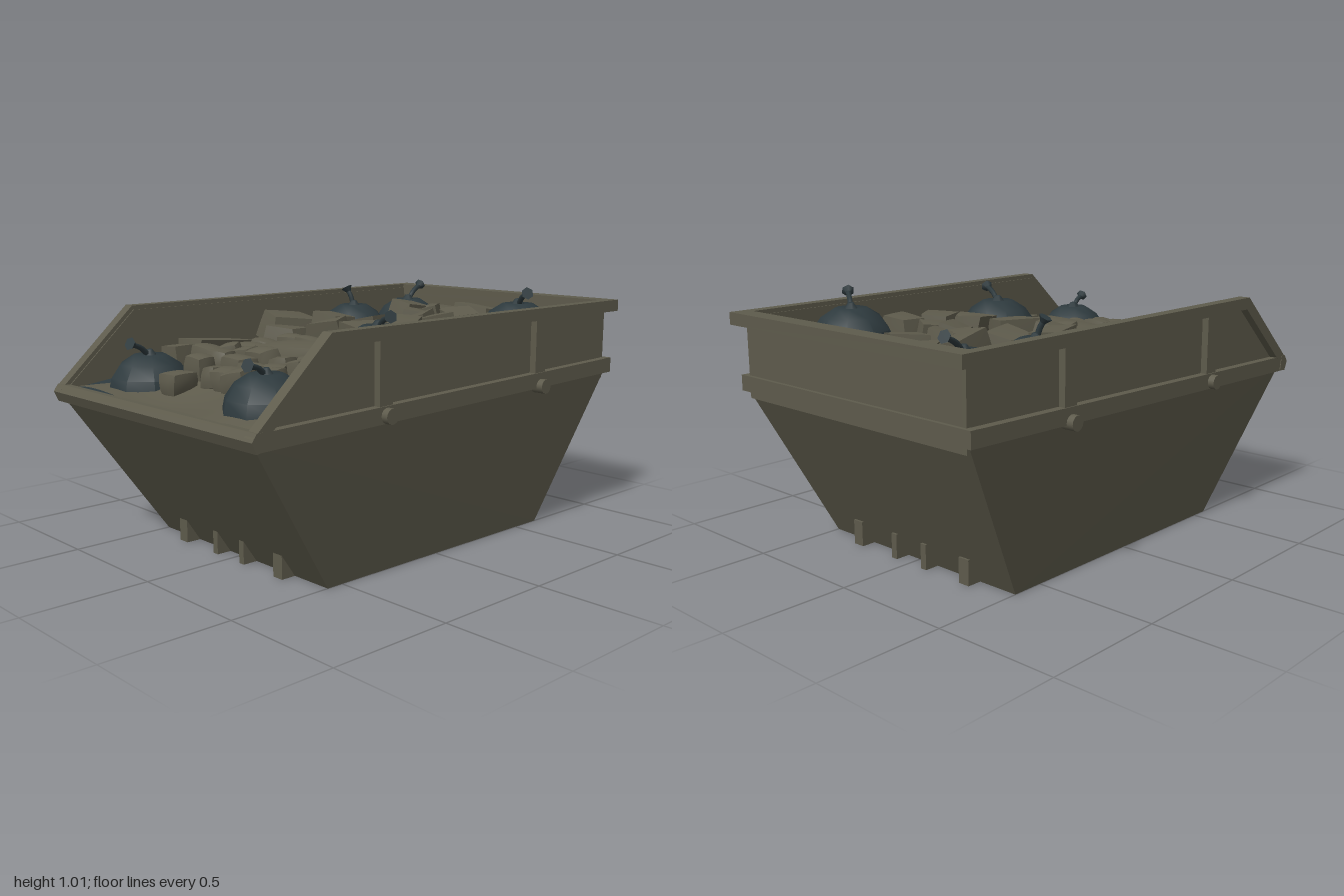
import * as THREE from 'three';
import { mergeVertices, toCreasedNormals } from 'three/addons/utils/BufferGeometryUtils.js';
import { ConvexGeometry } from 'three/addons/geometries/ConvexGeometry.js';

const tan = new THREE.MeshStandardMaterial({ color: 0x5e5b4c });
tan.name = 'dusty tan';
const slate = new THREE.MeshStandardMaterial({ color: 0x2e3a3e });
slate.name = 'dark slate';

function add(parent, name, geometry, material = tan) {
  const mesh = new THREE.Mesh(geometry, material);
  mesh.name = name;
  parent.add(mesh);
  return mesh;
}

// Extrudes a [z, y] outline across x0..x1
function profile(points, x0, x1) {
  const shape = new THREE.Shape(points.map(([z, y]) => new THREE.Vector2(z, y)));
  const geo = new THREE.ExtrudeGeometry(shape, { depth: x1 - x0, bevelEnabled: false });
  return geo.rotateY(-Math.PI / 2).translate(x1, 0, 0);
}

function box(x0, x1, y0, y1, z0, z1) {
  return new THREE.BoxGeometry(x1 - x0, y1 - y0, z1 - z0)
    .translate((x0 + x1) / 2, (y0 + y1) / 2, (z0 + z1) / 2);
}

let seed = 11;
const rand = () => (seed = (seed * 16807) % 2147483647) / 2147483647;
const spread = (amount) => (rand() - 0.5) * 2 * amount;

// Height of the dark debris sheet: low at the front, higher at the back
const level = (z) => 0.63 + 0.13 * THREE.MathUtils.clamp((0.95 - z) / 1.1, 0, 1);

// Tan rubble bed: mounded in the middle, dipping below the sheet near the walls
function bedHeight(x, z) {
  const mound = 0.025 * (1 - Math.pow(Math.abs(x) / 0.585, 3) * 1.5);
  const waves = 0.012 * Math.sin(7 * x + 5 * z) + 0.01 * Math.sin(11 * z - 4 * x + 1);
  return level(z) + mound + waves;
}

function sheet(height) {
  const geo = new THREE.PlaneGeometry(1.168, 1.9, 26, 42).rotateX(-Math.PI / 2).translate(0, 0, 0.015);
  const p = geo.attributes.position;
  for (let i = 0; i < p.count; i++) p.setY(i, height(p.getX(i), p.getZ(i)));
  geo.computeVertexNormals();
  return geo;
}

// Tapered, sheared block; round = 0 is a broken brick, 1 is a pebble
function rockGeometry(w, h, d, round) {
  let geo = new THREE.BoxGeometry(1, 1, 1, 3, 3, 3);
  geo.deleteAttribute('normal');
  geo.deleteAttribute('uv');
  geo = mergeVertices(geo);
  const p = geo.attributes.position, v = new THREE.Vector3(), ball = new THREE.Vector3();
  const [a, b, c, e] = [spread(0.35), spread(0.35), spread(0.3), spread(0.25)];
  for (let i = 0; i < p.count; i++) {
    v.fromBufferAttribute(p, i);
    ball.copy(v).setLength(0.58);
    v.lerp(ball, round);
    const { x, y, z } = v;
    p.setXYZ(i, x * (1 + a * z + b * y) * w, (y + c * x * 0.6) * h, (z * (1 + e * x) + c * y * 0.3) * d);
  }
  return toCreasedNormals(geo, 0.75);
}

function pumpkin(x, z, r, top, tip) {
  const g = new THREE.Group();
  g.name = 'pumpkin';
  // Body with a shallow dimple at the crown
  const body = new THREE.SphereGeometry(1, 9, 8);
  const p = body.attributes.position;
  for (let i = 0; i < p.count; i++) if (p.getY(i) > 0.99) p.setY(i, 0.9);
  const ry = r * 0.95;
  body.scale(r, ry, r).rotateY(x * 5).translate(x, top - ry, z);
  body.computeVertexNormals();
  add(g, 'pumpkinBody', toCreasedNormals(body, 0.7), slate);
  // Bent stem with a flared end
  const end = new THREE.Vector3(...tip), base = new THREE.Vector3(x, top - 0.025, z);
  const mid = base.clone().lerp(end, 0.45).add(new THREE.Vector3(0, 0.012, 0));
  const curve = new THREE.CatmullRomCurve3([base, mid, end]);
  add(g, 'pumpkinStem', new THREE.TubeGeometry(curve, 6, 0.011, 6), slate);
  const flare = add(g, 'stemEnd', new THREE.CylinderGeometry(0.026, 0.011, 0.022, 6), slate);
  flare.position.copy(end);
  flare.quaternion.setFromUnitVectors(new THREE.Vector3(0, 1, 0), curve.getTangent(1));
  const root = add(g, 'stemRoot', new THREE.CylinderGeometry(0.012, 0.034, 0.03, 6), slate);
  root.position.set(x, top - 0.008, z);
  return g;
}

export function createModel() {
  seed = 11;
  const model = new THREE.Group();
  model.name = 'loadedSkip';

  // Tapered lower hull
  const hull = [];
  for (const s of [-1, 1]) {
    for (const [x, y, z] of [[0.5, 0, 0.57], [0.5, 0, -0.63], [0.6, 0.6, 0.975], [0.6, 0.62, -0.945]]) {
      hull.push(new THREE.Vector3(s * x, y, z));
    }
  }
  add(model, 'lowerHull', new ConvexGeometry(hull));

  // Side walls, rims, rails, posts and lifting pins
  for (const s of [-1, 1]) {
    const side = new THREE.Group();
    side.name = s > 0 ? 'leftSide' : 'rightSide';
    const across = (points, a, b) => profile(points, Math.min(s * a, s * b), Math.max(s * a, s * b));
    add(side, 'sideWall', across([[0.97, 0.6], [0.96, 0.64], [0.655, 0.92], [-0.95, 0.92], [-0.95, 0.6]], 0.575, 0.592));
    add(side, 'topRim', across([[0.995, 0.63], [0.66, 0.937], [-1, 0.937], [-1, 0.889], [0.645, 0.889], [0.92, 0.64]], 0.58, 0.627));
    add(side, 'lowerRail', across([[1, 0.62], [0.98, 0.582], [-0.96, 0.628], [-0.965, 0.69], [0.97, 0.645]], 0.58, 0.625));
    for (const z of [0.4, -0.475]) {
      add(side, 'post', across([[z - 0.032, 0.62], [z + 0.032, 0.62], [z + 0.032, 0.9], [z - 0.032, 0.9]], 0.585, 0.62));
      const pin = add(side, 'liftingPin', new THREE.CylinderGeometry(0.029, 0.029, 0.07, 14));
      pin.rotation.z = Math.PI / 2;
      pin.position.set(s * 0.617, 0.624, z);
    }
    model.add(side);
  }

  // Front lip and back wall
  add(model, 'frontLip', profile([[1, 0.62], [0.982, 0.58], [0.945, 0.588], [0.955, 0.648], [0.98, 0.648]], -0.628, 0.628));
  add(model, 'backWall', box(-0.59, 0.59, 0.6, 0.92, -0.95, -0.93));
  add(model, 'backRim', box(-0.627, 0.627, 0.889, 0.937, -1, -0.925));
  add(model, 'backRail', profile([[-0.93, 0.628], [-0.93, 0.69], [-0.965, 0.69], [-0.965, 0.628]], -0.625, 0.625));

  // Wedge feet under both sloped ends
  for (const [x, w] of [[-0.3, 0.05], [-0.085, 0.028], [0.08, 0.028], [0.295, 0.05]]) {
    add(model, 'frontFoot', profile([[0.55, 0], [0.632, 0], [0.632, 0.092]], x - w / 2, x + w / 2));
    add(model, 'backFoot', profile([[-0.61, 0], [-0.68, 0.1], [-0.69, 0.1], [-0.69, 0]].reverse(), x - w / 2, x + w / 2));
  }

  // Load surface
  add(model, 'rubbleBed', sheet(bedHeight));
  add(model, 'darkDebris', sheet((x, z) => level(z)), slate);

  // Broken blocks: x, z, width, depth, turn
  const blocks = [
    [-0.13, -0.73, 0.16, 0.15, 0.5], [-0.03, -0.84, 0.2, 0.12, 0.1], [0.06, -0.62, 0.18, 0.14, -0.5],
    [-0.21, -0.58, 0.12, 0.19, 0.2], [-0.07, -0.47, 0.12, 0.12, 0.7], [-0.06, -0.56, 0.1, 0.09, 0.3],
    [0.05, -0.38, 0.11, 0.14, 0.5], [0.13, -0.39, 0.09, 0.17, -0.3], [0.35, -0.38, 0.14, 0.12, 0.1],
    [-0.14, -0.28, 0.13, 0.17, 0.2], [-0.46, -0.06, 0.16, 0.22, -0.1], [-0.26, -0.15, 0.14, 0.13, 0.1],
    [-0.16, -0.04, 0.16, 0.11, 0.3], [0.05, -0.05, 0.13, 0.17, -0.3], [0.15, -0.19, 0.1, 0.16, 0.5],
    [0.39, -0.14, 0.13, 0.14, 0.5], [0.27, -0.05, 0.14, 0.08, 0.4], [-0.31, 0.08, 0.18, 0.13, 0.5],
    [-0.43, 0.35, 0.14, 0.31, 0.1], [0.35, 0.36, 0.08, 0.12, 0], [-0.42, 0.55, 0.11, 0.1, 0.1],
  ];
  // Rounded stones
  const stones = [
    [-0.26, 0.22, 0.12, 0.1, 0.3], [-0.17, 0.16, 0.1, 0.08, 0.4], [-0.24, 0.33, 0.12, 0.1, 0.2],
    [-0.23, 0.43, 0.09, 0.09, 0.6], [-0.13, 0.43, 0.11, 0.09, 0.1], [0, 0.45, 0.13, 0.1, 0],
    [-0.01, 0.21, 0.12, 0.09, 0.2], [0.02, 0.29, 0.34, 0.2, 0.1], [0.12, 0.45, 0.1, 0.1, 0.3],
    [0.2, 0.37, 0.1, 0.1, 0.7], [0.27, 0.36, 0.08, 0.09, 0.2], [0.37, 0.49, 0.17, 0.14, 0],
    [0.21, 0.46, 0.1, 0.09, 0.2], [0.17, 0.54, 0.1, 0.09, 0.6], [0.1, 0.58, 0.1, 0.08, 0.3],
    [0, 0.57, 0.13, 0.1, 0.1], [-0.14, 0.54, 0.1, 0.1, 0.4], [-0.27, 0.51, 0.12, 0.1, 0.1],
    [-0.12, 0.66, 0.1, 0.09, 0.1], [0.01, 0.68, 0.08, 0.11, 0.2], [0.08, 0.68, 0.09, 0.1, 0.3],
    [0.14, 0.68, 0.12, 0.1, 0.4], [-0.09, 0.78, 0.1, 0.12, 0.1], [0.23, 0.58, 0.08, 0.08, 0.3],
  ];
  const pile = (list, name, round, height) => {
    for (const [x, z, w, d, turn] of list) {
      const h = height * (0.85 + 0.3 * rand());
      const rock = add(model, name, rockGeometry(w, h, d, round));
      rock.position.set(x, bedHeight(x, z) + h * 0.25, z);
      rock.rotation.set(spread(0.15), turn, spread(0.15));
    }
  };
  pile(blocks, 'brokenBlock', 0.08, 0.12);
  pile(stones, 'stone', 0.5, 0.1);

  // Pumpkins: x, z, radius, top height, stem tip
  for (const spec of [
    [-0.39, -0.76, 0.162, 0.9, [-0.41, 0.945, -0.86]],
    [-0.4, -0.41, 0.162, 0.895, [-0.43, 0.95, -0.4]],
    [0.4, -0.6, 0.168, 0.945, [0.49, 0.98, -0.54]],
    [0.315, 0.14, 0.17, 0.905, [0.425, 0.935, 0.19]],
    [-0.305, 0.76, 0.165, 0.79, [-0.285, 0.825, 0.85]],
    [0.405, 0.76, 0.16, 0.8, [0.43, 0.825, 0.85]],
  ]) model.add(pumpkin(...spec));

  return model;
}
